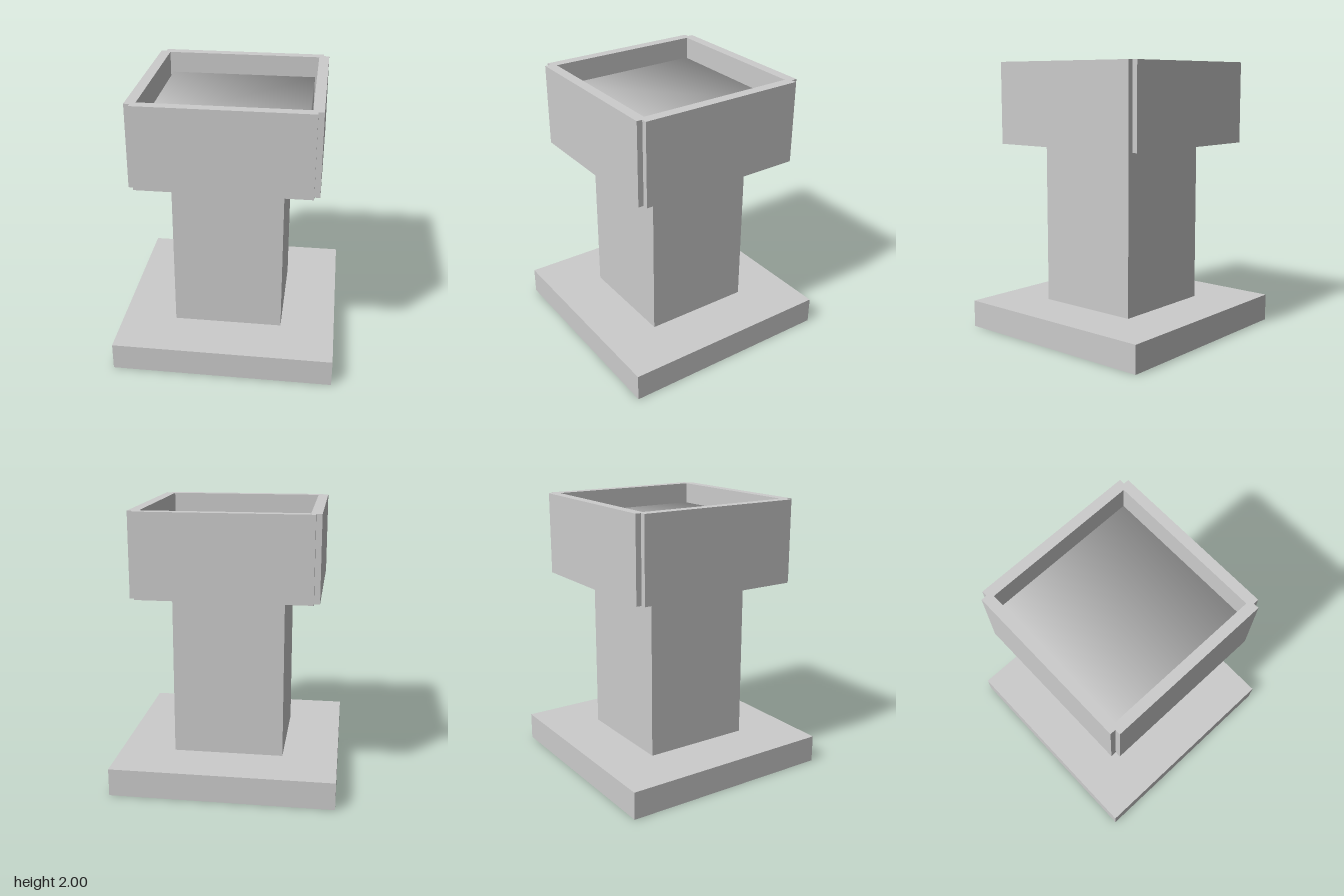
import * as THREE from 'three';
import { mergeVertices } from 'three/addons/utils/BufferGeometryUtils.js';

export function createModel() {
  const group = new THREE.Group();
  group.name = 'pedestalBasin';
  const material = new THREE.MeshStandardMaterial({ color: 0xcccccc });

  const add = (name, geometry, y = 0) => {
    const mesh = new THREE.Mesh(geometry, material);
    mesh.name = name;
    mesh.position.y = y;
    group.add(mesh);
    return mesh;
  };
  // Square block given by its width and its bottom and top heights
  const block = (name, width, bottom, top) =>
    add(name, new THREE.BoxGeometry(width, top - bottom, width), (bottom + top) / 2);

  // Foot and column
  block('base', 1.6, 0, 0.2);
  block('column', 0.8, 0.2, 1.4);

  // Basin walls: square ring with a small notch at each outer corner
  const outer = 0.65, notch = 0.61, inner = 0.575;
  const outline = [];
  const corners = [[1, 1], [-1, 1], [-1, -1], [1, -1]];
  corners.forEach(([sx, sy], i) => {
    const steps = [[outer, notch], [notch, notch], [notch, outer]];
    if (i % 2) steps.reverse();
    for (const [x, y] of steps) outline.push(new THREE.Vector2(sx * x, sy * y));
  });
  const ring = new THREE.Shape(outline);
  ring.holes.push(new THREE.Path(
    corners.map(([sx, sy]) => new THREE.Vector2(sx * inner, sy * inner)).reverse()
  ));
  const walls = new THREE.ExtrudeGeometry(ring, { depth: 0.6, bevelEnabled: false });
  walls.rotateX(-Math.PI / 2);
  add('basinWalls', walls, 1.4);

  // Basin floor
  block('basinFloor', inner * 2, 1.4, 1.5);

  // Filling: block with shared corners, so its shading is soft
  const filling = block('basinFilling', 1.1, 1.5, 1.85);
  const soft = filling.geometry;
  soft.deleteAttribute('normal');
  soft.deleteAttribute('uv');
  filling.geometry = mergeVertices(soft);
  const p = filling.geometry.attributes.position;
  const normals = [];
  for (let i = 0; i < p.count; i++) {
    const n = new THREE.Vector3(Math.sign(p.getX(i)), Math.sign(p.getY(i)), Math.sign(p.getZ(i)));
    normals.push(...n.normalize().toArray());
  }
  filling.geometry.setAttribute('normal', new THREE.Float32BufferAttribute(normals, 3));

  // The walls reach up to 2
  walls.scale(1, 1, 1);
  return group;
}
